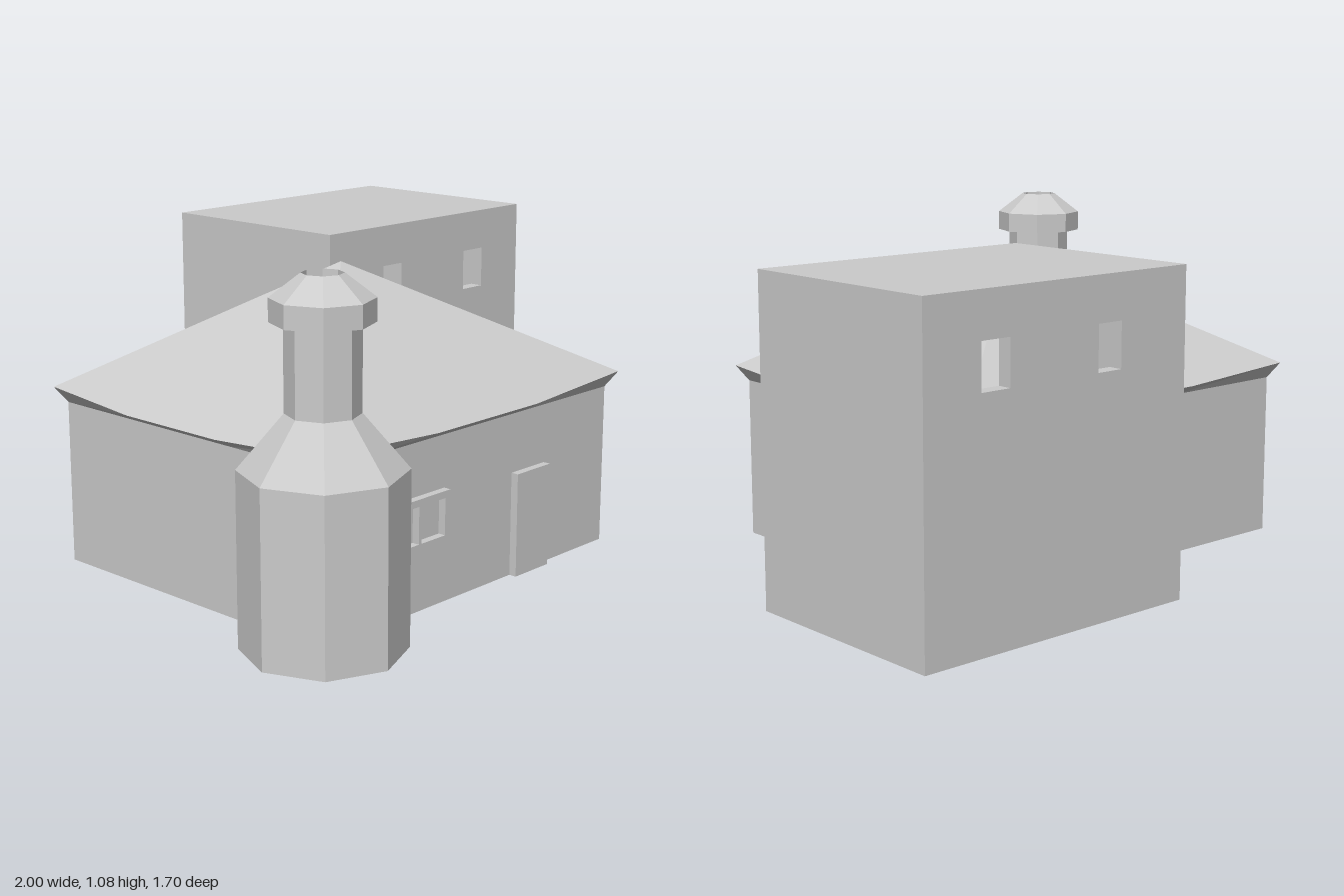
import * as THREE from 'three';
import { toCreasedNormals } from 'three/addons/utils/BufferGeometryUtils.js';

const material = new THREE.MeshStandardMaterial({ color: 0xcccccc, flatShading: true });
const smoothMaterial = new THREE.MeshStandardMaterial({ color: 0xcccccc });

function add(parent, name, geometry, mat = material) {
  const mesh = new THREE.Mesh(geometry, mat);
  mesh.name = name;
  parent.add(mesh);
  return mesh;
}

// Box given by its minimum and maximum corners
function box(parent, name, [x0, y0, z0], [x1, y1, z1]) {
  const g = new THREE.BoxGeometry(x1 - x0, y1 - y0, z1 - z0);
  g.translate((x0 + x1) / 2, (y0 + y1) / 2, (z0 + z1) / 2);
  return add(parent, name, g);
}

// Upright panel with rectangular openings; rectangles are [x0, y0, x1, y1]
function panel(parent, name, rect, holes, z, depth) {
  const corners = ([x0, y0, x1, y1]) =>
    [[x0, y0], [x1, y0], [x1, y1], [x0, y1]].map(([x, y]) => new THREE.Vector2(x, y));
  const shape = new THREE.Shape(corners(rect));
  for (const h of holes) shape.holes.push(new THREE.Path(corners(h)));
  const g = new THREE.ExtrudeGeometry(shape, { depth, bevelEnabled: false });
  g.translate(0, 0, z);
  return add(parent, name, g);
}

// Hipped roof: rings of 12 points from wall top over the flared eave to the apex
function roofGeometry(cx, cz) {
  // half widths at the corners, half widths at mid side, corner height, mid side height
  const rings = [
    [0.665, 0.555, 0.665, 0.555, 0.525, 0.525],
    [0.697, 0.585, 0.725, 0.612, 0.575, 0.558],
    [0.208, 0.180, 0.217, 0.184, 0.842, 0.838],
    [0, 0, 0, 0, 0.957, 0.957],
  ];
  const signs = [[1, 1], [1, -1], [-1, -1], [-1, 1]];
  const positions = [];
  const index = [];
  for (const [hx, hz, mx, mz, yc, ym] of rings) {
    signs.forEach(([sx, sz], k) => {
      const [nx, nz] = signs[(k + 1) % 4];
      positions.push(cx + sx * hx, yc, cz + sz * hz);
      for (const t of [1 / 3, 2 / 3]) {
        const x = sx === nx ? sx * mx : hx * (sx + (nx - sx) * t);
        const z = sz === nz ? sz * mz : hz * (sz + (nz - sz) * t);
        positions.push(cx + x, ym, cz + z);
      }
    });
  }
  for (let i = 0; i < rings.length - 1; i++) {
    for (let j = 0; j < 12; j++) {
      const a = i * 12 + j, b = i * 12 + (j + 1) % 12;
      index.push(a, b, b + 12);
      if (i < rings.length - 2) index.push(a, b + 12, a + 12);
    }
  }
  const g = new THREE.BufferGeometry();
  g.setAttribute('position', new THREE.Float32BufferAttribute(positions, 3));
  g.setIndex(index);
  return toCreasedNormals(g, 0.4);
}

export function createModel() {
  const model = new THREE.Group();
  model.name = 'house';

  // Main house
  const cottage = new THREE.Group();
  cottage.name = 'cottage';
  model.add(cottage);
  box(cottage, 'cottageWalls', [-0.78, 0, -0.5], [0.55, 0.525, 0.61]);
  add(cottage, 'hippedRoof', roofGeometry(-0.115, 0.055), smoothMaterial);
  box(cottage, 'door', [0.07, 0, 0.6], [0.232, 0.335, 0.635]);
  panel(cottage, 'windowFrame', [-0.52, 0.2, -0.252, 0.36],
    [[-0.495, 0.222, -0.392, 0.338], [-0.38, 0.222, -0.275, 0.338]], 0.605, 0.03);

  // Flat-roofed hollow block with two windows at the front and back
  const annex = new THREE.Group();
  annex.name = 'annex';
  model.add(annex);
  const x0 = 0.018, x1 = 1, z0 = -0.85, z1 = -0.122, top = 1.005, wall = 0.045;
  const openings = [[0.28, 0.73, 0.37, 0.868], [0.7, 0.73, 0.802, 0.868]];
  panel(annex, 'frontWall', [x0, 0, x1, top], openings, z1 - wall, wall);
  panel(annex, 'backWall', [x0, 0, x1, top], openings, z0, wall);
  box(annex, 'leftWall', [x1 - wall, 0, z0 + wall], [x1, top, z1 - wall]);
  box(annex, 'rightWall', [x0, 0, z0 + wall], [x0 + wall, top, z1 - wall]);
  box(annex, 'flatRoof', [x0 + wall, top - wall, z0 + wall], [x1 - wall, top, z1 - wall]);
  box(annex, 'floor', [x0 + wall, 0, z0 + wall], [x1 - wall, wall, z1 - wall]);

  // Eight-sided tower with a capped chimney and open flue
  const profile = [
    [0, 0], [0.243, 0], [0.243, 0.525], [0.108, 0.685], [0.108, 0.94],
    [0.148, 0.94], [0.148, 1.007], [0.06, 1.075], [0.06, 0.98], [0, 0.98],
  ].map(([r, y]) => new THREE.Vector2(r, y));
  const tower = add(model, 'chimneyTower', new THREE.LatheGeometry(profile, 8));
  tower.position.set(-0.757, 0, 0.602);

  return model;
}
